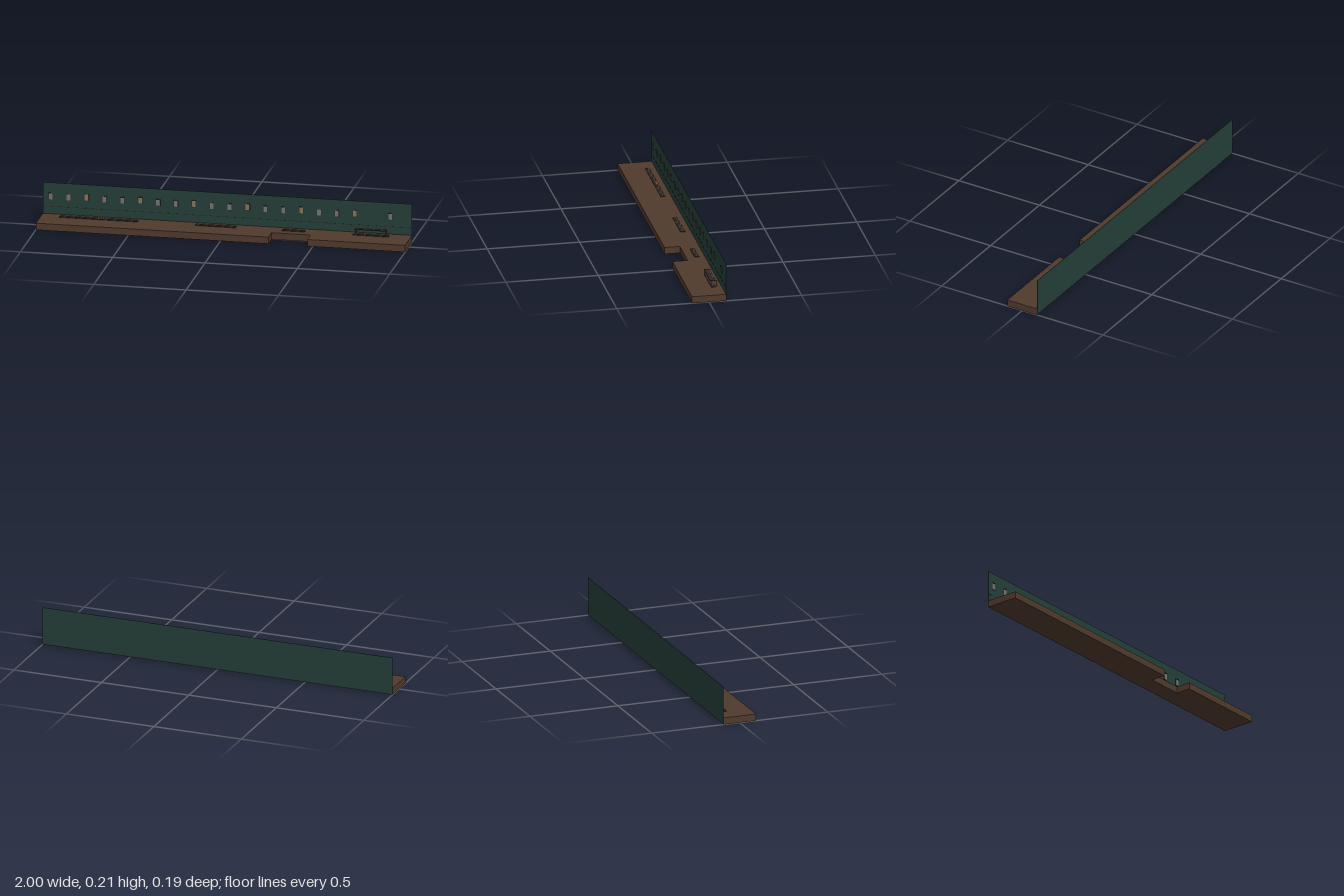
import * as THREE from 'three';

const paint = (name, color) => {
  const m = new THREE.MeshStandardMaterial({ color });
  m.name = name;
  return m;
};

export function createModel() {
  const group = new THREE.Group();
  const brown = paint('brown wood', 0x503a2d);
  const green = paint('dark green', 0x253f38);
  const dark = paint('charcoal', 0x2b2724);
  const grey = paint('grey', 0x77736f);
  const tan = paint('warm tan', 0x8a7558);
  const gold = paint('brass', 0xa88445);

  // Box given by its minimum and maximum along each axis
  const box = (name, mat, x0, x1, y0, y1, z0, z1, parent = group) => {
    const mesh = new THREE.Mesh(new THREE.BoxGeometry(x1 - x0, y1 - y0, z1 - z0), mat);
    mesh.position.set((x0 + x1) / 2, (y0 + y1) / 2, (z0 + z1) / 2);
    mesh.name = name;
    parent.add(mesh);
    return mesh;
  };

  // Platform with a notch in the front edge
  const outline = [[-1, -0.093], [0.26, -0.093], [0.26, -0.01], [0.47, -0.01],
    [0.47, -0.093], [1, -0.093], [1, 0.091], [-1, 0.091]];
  const footprint = new THREE.Shape(outline.map(([x, y]) => new THREE.Vector2(x, y)));
  const platform = new THREE.Mesh(
    new THREE.ExtrudeGeometry(footprint, { depth: 0.037, bevelEnabled: false }), brown);
  platform.rotation.x = -Math.PI / 2;
  platform.name = 'platform';
  group.add(platform);

  // Back wall with a slim rail
  box('backWall', green, -1, 1, 0.003, 0.21, -0.093, -0.091);
  box('wallRail', dark, -1, 1, 0.077, 0.079, -0.091, -0.0902);

  // Framed panels along the wall, every third one raised and warmer
  const xs = Array.from({ length: 18 }, (_, i) => -0.957 + i * 0.0969);
  xs.push(0.882);
  xs.forEach((x, i) => {
    const warm = i % 3 === 2;
    const y = warm ? 0.124 : 0.118;
    const panel = new THREE.Group();
    panel.name = 'wallPanel';
    group.add(panel);
    box('panelFrame', dark, x - 0.012, x + 0.012, y - 0.002, y + 0.035, -0.091, -0.089, panel);
    box('panelFace', warm ? tan : grey, x - 0.01, x + 0.01, y, y + 0.033, -0.089, -0.088, panel);
    box('panelLamp', dark, x - 0.008, x + 0.008, y + 0.033, y + 0.036, -0.089, -0.084, panel);
  });

  // Low slatted strips on the platform
  for (const [a, b] of [[-0.9, -0.475], [-0.165, 0.055], [0.305, 0.43], [0.69, 0.885]]) {
    box('stripBase', dark, a, b, 0.037, 0.0395, -0.061, -0.035);
    box('stripEdge', grey, a + 0.005, b - 0.005, 0.0395, 0.041, -0.06, -0.057);
    box('stripSlat', brown, a + 0.005, b - 0.005, 0.0395, 0.0405, -0.05, -0.046);
  }

  // Small brass fittings on the longest strip
  for (let i = 0; i < 4; i++) {
    const x = -0.69 + i * 0.012;
    box('brassFitting', gold, x, x + 0.005, 0.0395, 0.048, -0.058, -0.042);
  }

  // Open table: two end panels and a thin top
  for (const x of [0.703, 0.868]) {
    box('tableEnd', brown, x - 0.002, x + 0.002, 0.037, 0.07, -0.067, -0.036);
  }
  box('tableTop', dark, 0.7, 0.871, 0.068, 0.071, -0.061, -0.031);
  box('tableTopEdge', grey, 0.705, 0.866, 0.071, 0.072, -0.058, -0.055);

  return group;
}
